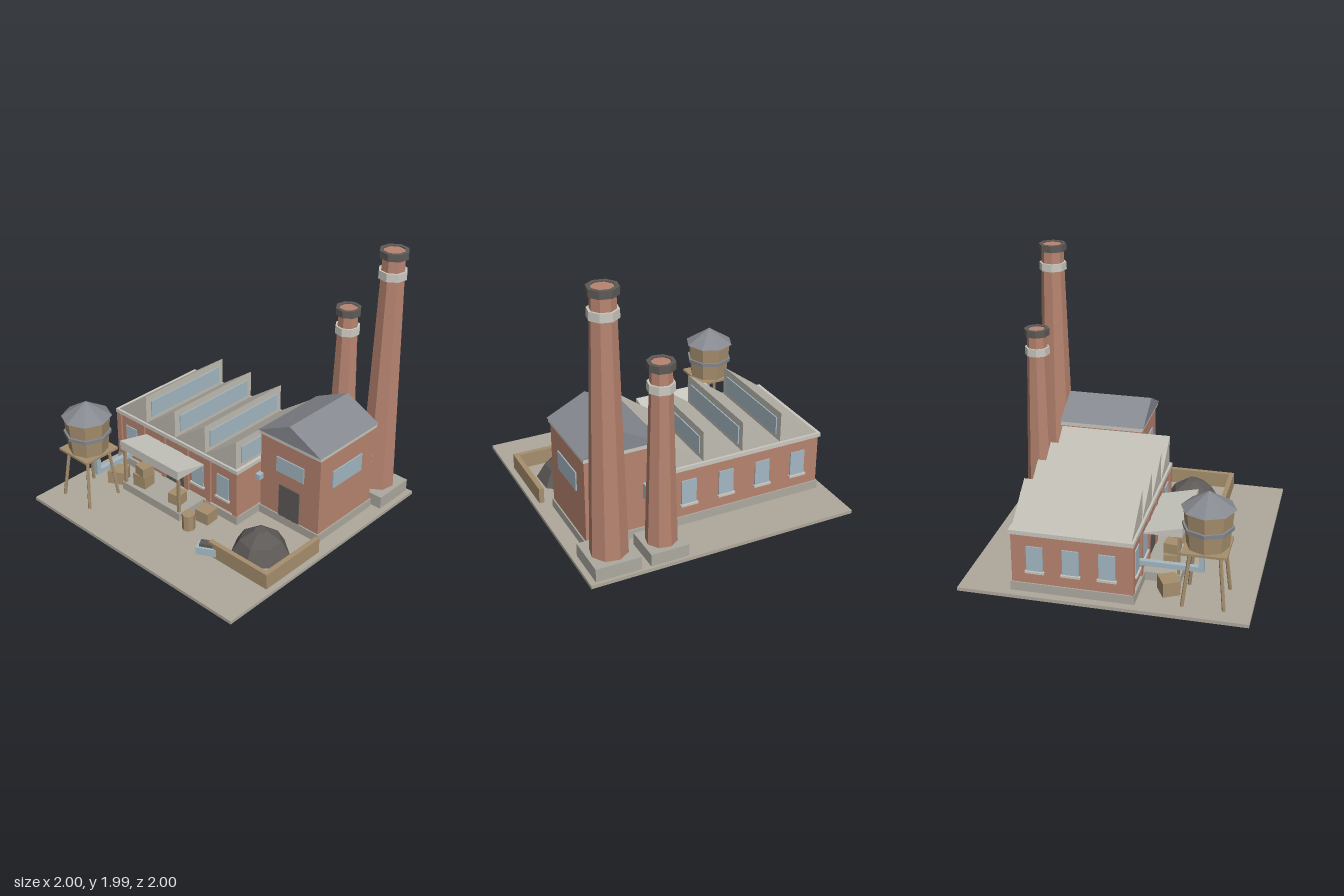
import * as THREE from 'three';

const palette = {
  ground: 0xafa89b, concrete: 0xaca99f, brick: 0xb78470, roofPale: 0xbfbcb2, trim: 0xc9c7be,
  slate: 0x868990, dark: 0x5e5a58, glass: 0xa4b8c3, wood: 0xa68f6e,
};

export function createModel() {
  const model = new THREE.Group();
  model.name = 'factory';
  const mats = {};
  for (const [name, color] of Object.entries(palette)) {
    mats[name] = new THREE.MeshStandardMaterial({ color });
    mats[name].name = name;
  }

  // Faceted mesh helper
  function add(name, geo, mat, x = 0, y = 0, z = 0, ry = 0, parent = model) {
    const g = geo.index ? geo.toNonIndexed() : geo;
    g.computeVertexNormals();
    const m = new THREE.Mesh(g, mats[mat]);
    m.name = name;
    m.position.set(x, y, z);
    m.rotation.y = ry;
    parent.add(m);
    return m;
  }
  // Box given by its limits
  function box(name, mat, x0, x1, y0, y1, z0, z1) {
    return add(name, new THREE.BoxGeometry(x1 - x0, y1 - y0, z1 - z0), mat,
      (x0 + x1) / 2, (y0 + y1) / 2, (z0 + z1) / 2);
  }
  // Turned box standing on y0
  function crate(name, mat, x, y0, z, w, h, d, ry = 0) {
    return add(name, new THREE.BoxGeometry(w, h, d), mat, x, y0 + h / 2, z, ry);
  }
  // Straight-sided prism along z from an (x, y) outline
  function prism(name, mat, pts, z0, z1) {
    const shape = new THREE.Shape(pts.map(p => new THREE.Vector2(p[0], p[1])));
    const geo = new THREE.ExtrudeGeometry(shape, { depth: z1 - z0, bevelEnabled: false });
    return add(name, geo, mat, 0, 0, z0);
  }
  // Tapered column between two heights
  function column(name, mat, x, z, y0, y1, r0, r1, sides = 8, ry = 0) {
    return add(name, new THREE.CylinderGeometry(r1, r0, y1 - y0, sides), mat, x, (y0 + y1) / 2, z, ry);
  }

  box('groundSlab', 'ground', -1, 1, 0, 0.025, -1, 1);

  // Long hall with saw-tooth roof
  box('hallPlinth', 'concrete', -0.94, 0.33, 0.025, 0.09, -0.635, 0.225);
  box('hallWalls', 'brick', -0.93, 0.32, 0.09, 0.455, -0.625, 0.205);
  box('hallCornice', 'trim', -0.943, 0.328, 0.455, 0.485, -0.638, 0.222);
  const tooth = 0.306;
  for (let i = 0; i < 4; i++) {
    const x0 = -0.92 + i * tooth, x1 = x0 + tooth;
    prism('sawToothRoof', 'roofPale', [[x0, 0.485], [x1, 0.485], [x1, 0.71]], -0.62, 0.205);
    box('roofGlazing', 'glass', x1, x1 + 0.009, 0.52, 0.655, -0.57, 0.155);
  }

  // Pilasters on the front, sides of the hall
  for (const x of [-0.915, -0.655, -0.43, -0.19, 0.04, 0.303])
    box('pilaster', 'brick', x - 0.022, x + 0.022, 0.09, 0.455, 0.2, 0.22);

  // Windows with sills; ry turns them to face out of each wall
  function hallWindow(x, z, ry) {
    const g = new THREE.Group();
    g.name = 'hallWindow';
    g.position.set(x, 0, z);
    g.rotation.y = ry;
    model.add(g);
    add('windowPane', new THREE.BoxGeometry(0.115, 0.185, 0.009), 'glass', 0, 0.28, 0.0045, 0, g);
    add('windowSill', new THREE.BoxGeometry(0.135, 0.016, 0.022), 'trim', 0, 0.181, 0.01, 0, g);
  }
  for (const x of [-0.785, -0.54, -0.075, 0.18]) hallWindow(x, 0.205, 0);
  for (const x of [-0.76, -0.47, -0.18, 0.11]) hallWindow(x, -0.625, Math.PI);
  for (const z of [-0.46, -0.21, 0.04]) hallWindow(-0.93, z, -Math.PI / 2);

  // Loading dock, door and canopy
  box('loadingDock', 'concrete', -0.61, -0.005, 0.025, 0.09, 0.22, 0.475);
  box('loadingDoor', 'dark', -0.41, -0.21, 0.09, 0.36, 0.205, 0.213);
  const canopy = prism('canopy', 'trim', [[-0.48, 0.385], [-0.215, 0.385], [-0.215, 0.392], [-0.48, 0.455]], -0.61, -0.005);
  canopy.rotation.y = Math.PI / 2;
  canopy.position.set(-0.61, 0, 0);
  for (const x of [-0.59, -0.025])
    box('canopyPost', 'wood', x - 0.01, x + 0.01, 0.09, 0.387, 0.445, 0.465);

  // Boiler house
  box('boilerPlinth', 'concrete', 0.325, 0.885, 0.025, 0.09, -0.63, -0.015);
  box('boilerWalls', 'brick', 0.335, 0.875, 0.09, 0.71, -0.62, -0.025);
  box('boilerCornice', 'trim', 0.33, 0.885, 0.705, 0.735, -0.64, -0.01);
  prism('gableRoof', 'slate', [[0.325, 0.735], [0.892, 0.735], [0.608, 0.875]], -0.645, -0.002);
  box('boilerFrontWindow', 'glass', 0.485, 0.735, 0.455, 0.575, -0.025, -0.016);
  box('boilerSideWindow', 'glass', 0.875, 0.884, 0.415, 0.555, -0.485, -0.16);
  box('boilerDoor', 'dark', 0.515, 0.7, 0.09, 0.35, -0.025, -0.016);
  box('wallVent', 'glass', 0.322, 0.362, 0.328, 0.372, -0.03, 0.022);

  // Chimneys with footing, band, cap and flue
  function chimney(x, z, foot, footTop, top, r0, r1, flueX) {
    box('chimneyFooting', 'concrete', x - foot, x + foot, 0.025, footTop, z - foot, z + foot);
    const turn = Math.PI / 16;
    column('chimneyShaft', 'brick', x, z, footTop, top - 0.008, r0, r1, 8, turn);
    column('chimneyBand', 'trim', x, z, top - 0.2, top - 0.142, r1 + 0.022, r1 + 0.02, 8, turn);
    const ring = [[r1 - 0.006, top - 0.052], [r1 + 0.022, top - 0.052], [r1 + 0.022, top],
      [r1 - 0.006, top], [r1 - 0.006, top - 0.052]].map(p => new THREE.Vector2(...p));
    add('chimneyCap', new THREE.LatheGeometry(ring, 8), 'dark', x, 0, z, turn);
    box('flueDuct', 'glass', flueX - 0.03, flueX + 0.03, 0.32, 0.435, z, -0.62);
  }
  chimney(0.425, -0.84, 0.139, 0.115, 1.43, 0.111, 0.073, 0.425);
  chimney(0.795, -0.815, 0.163, 0.122, 1.985, 0.133, 0.083, 0.795);

  // Water tower
  const tx = -0.737, tz = 0.675;
  const up = new THREE.Vector3(0, 1, 0);
  for (const sx of [-1, 1]) for (const sz of [-1, 1]) {
    const a = new THREE.Vector3(tx + sx * 0.142, 0.012, tz + sz * 0.142);
    const b = new THREE.Vector3(tx + sx * 0.1, 0.42, tz + sz * 0.1);
    const dir = b.clone().sub(a);
    const leg = add('towerLeg', new THREE.CylinderGeometry(0.013, 0.013, dir.length(), 6), 'wood');
    leg.position.copy(a).add(b).multiplyScalar(0.5);
    leg.quaternion.setFromUnitVectors(up, dir.normalize());
  }
  box('towerPlatform', 'wood', tx - 0.152, tx + 0.152, 0.412, 0.43, tz - 0.152, tz + 0.152);
  column('waterTank', 'wood', tx, tz, 0.43, 0.706, 0.145, 0.17);
  column('tankHoop', 'slate', tx, tz, 0.558, 0.585, 0.173, 0.175);
  add('tankRoof', new THREE.ConeGeometry(0.185, 0.12, 8), 'slate', tx, 0.765, tz);

  // Water pipe from the tank to the hall
  box('pipeDrop', 'glass', -0.718, -0.682, 0.2, 0.415, 0.615, 0.651);
  box('pipeRun', 'glass', -0.718, -0.682, 0.2, 0.236, 0.2, 0.651);

  // Coal bay, heap and cart
  box('bayFrontWall', 'wood', 0.42, 0.957, 0.025, 0.143, 0.572, 0.607);
  box('baySideWall', 'wood', 0.92, 0.957, 0.025, 0.143, 0.057, 0.572);
  const heap = [[0.215, 0.025], [0.15, 0.135], [0.045, 0.205], [0, 0.205]].map(p => new THREE.Vector2(...p));
  add('coalHeap', new THREE.LatheGeometry(heap, 7), 'dark', 0.65, 0, 0.325, 0.25);
  crate('cartBody', 'glass', 0.407, 0.042, 0.605, 0.145, 0.058, 0.088, 0.5);
  crate('cartLoad', 'dark', 0.407, 0.1, 0.605, 0.1, 0.025, 0.055, 0.5);

  // Crates and barrel
  crate('crate', 'wood', -0.72, 0.025, 0.415, 0.135, 0.105, 0.125, 0.5);
  crate('crate', 'wood', 0.12, 0.025, 0.32, 0.115, 0.095, 0.115, 0.08);
  crate('crate', 'wood', -0.47, 0.09, 0.385, 0.115, 0.1, 0.11, 0.1);
  crate('crate', 'wood', -0.455, 0.19, 0.385, 0.1, 0.075, 0.1, -0.15);
  crate('crate', 'wood', -0.125, 0.09, 0.37, 0.1, 0.085, 0.1, 0.15);
  column('barrel', 'wood', 0.1, 0.482, 0.025, 0.15, 0.048, 0.048);

  return model;
}
